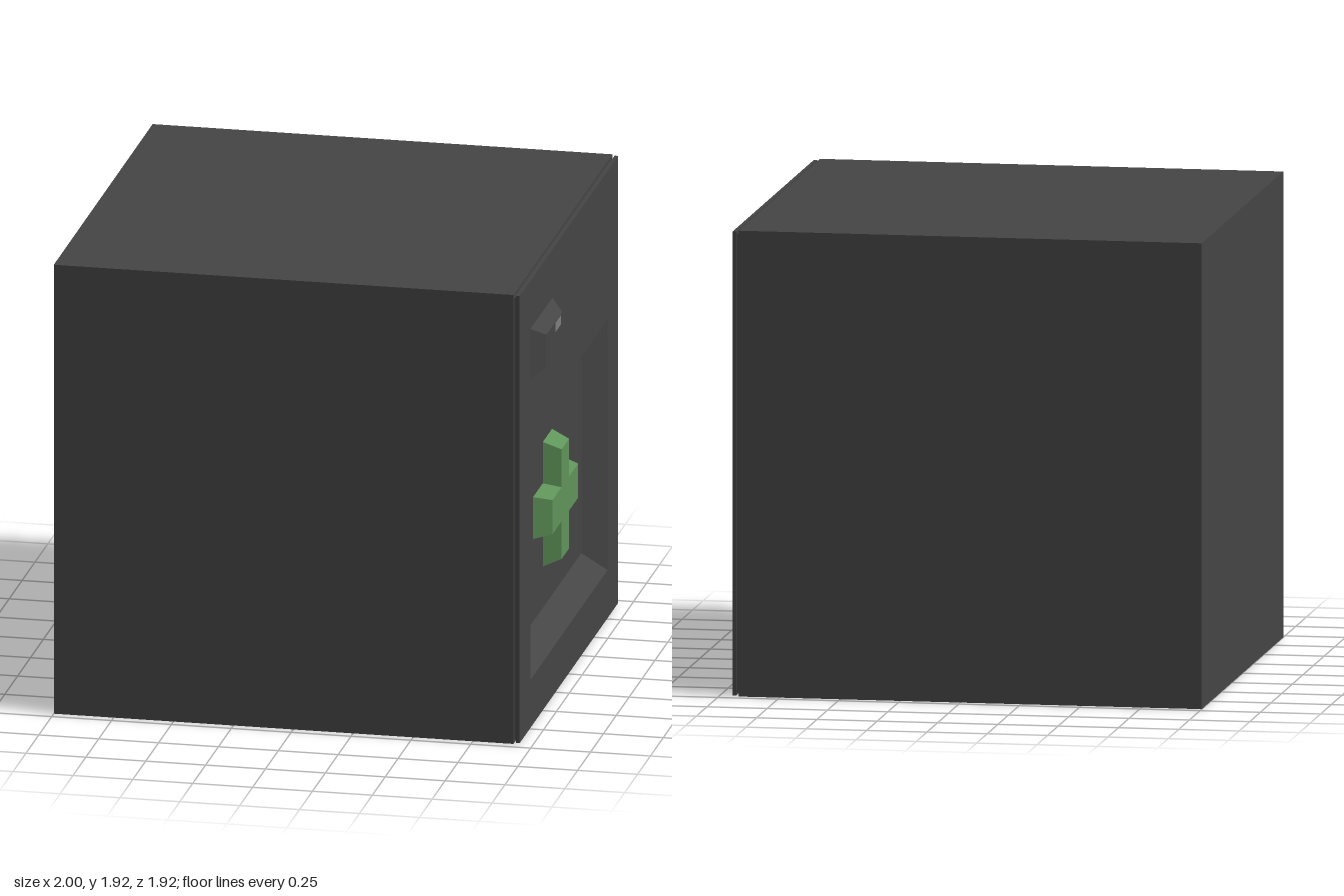
import * as THREE from 'three';

const charcoal = new THREE.MeshStandardMaterial({ name: 'charcoal', color: 0x454545 });
const green = new THREE.MeshStandardMaterial({ name: 'green', color: 0x5f955a });
const grey = new THREE.MeshStandardMaterial({ name: 'lightGrey', color: 0x808080 });

// Counter-clockwise rectangle outline
const rect = (x0, x1, y0, y1) => [[x0, y0], [x1, y0], [x1, y1], [x0, y1]].map(p => new THREE.Vector2(...p));

// Counter-clockwise plus outline: half height h, half width w, half arm thickness t
const plus = (cy, w, h, t) => [
  [-t, -h], [t, -h], [t, -t], [w, -t], [w, t], [t, t],
  [t, h], [-t, h], [-t, t], [-w, t], [-w, -t], [-t, -t],
].map(([x, y]) => new THREE.Vector2(x, y + cy));

// Sloping walls joining two outlines at different depths
function walls(a, za, b, zb) {
  const pos = [];
  a.forEach((p, i) => {
    const j = (i + 1) % a.length;
    const A = [p.x, p.y, za], B = [a[j].x, a[j].y, za];
    const C = [b[j].x, b[j].y, zb], D = [b[i].x, b[i].y, zb];
    pos.push(...A, ...B, ...C, ...A, ...C, ...D);
  });
  const g = new THREE.BufferGeometry();
  g.setAttribute('position', new THREE.Float32BufferAttribute(pos, 3));
  g.computeVertexNormals();
  return g;
}

// Flat plate with a window cut through it
function frame(outer, hole, z0, z1) {
  const s = new THREE.Shape(outer);
  s.holes.push(new THREE.Path(hole));
  return new THREE.ExtrudeGeometry(s, { depth: z1 - z0, bevelEnabled: false }).translate(0, 0, z0);
}

export function createModel() {
  const model = new THREE.Group();
  model.name = 'cabinet';
  // The door side is modelled facing +z, then turned to face +x
  const add = (name, geo, mat) => {
    const m = new THREE.Mesh(geo.rotateY(Math.PI / 2), mat);
    m.name = name;
    model.add(m);
  };
  const raised = (name, base, z0, top, z1, mat) => {
    add(name + 'Sides', walls(base, z0, top, z1), mat);
    add(name + 'Face', new THREE.ShapeGeometry(new THREE.Shape(top)).translate(0, 0, z1), mat);
  };

  const floor = 0.855, face = 0.945;
  const opening = rect(-0.75, 0.75, 0.21, 1.285);
  const panel = rect(-0.66, 0.66, 0.305, 1.19);

  // Cube body, with an open front rim around the recess
  add('body', new THREE.BoxGeometry(1.92, 1.925, 1 + floor).translate(0, 0.9625, (floor - 1) / 2), charcoal);
  add('bodyRim', frame(rect(-0.96, 0.96, 0, 1.925), opening, floor, 0.92), charcoal);

  // Door plate held off the body by a narrow groove
  add('doorGroove', frame(rect(-0.945, 0.945, 0.015, 1.91), opening, 0.92, 0.93), charcoal);
  add('door', frame(rect(-0.957, 0.957, 0.004, 1.921), opening, 0.93, face), charcoal);

  // Sloping sides of the sunken panel, facing inwards
  add('recessSides', walls([...panel].reverse(), floor, [...opening].reverse(), face), charcoal);

  // Bevelled cross on the sunken panel
  raised('cross', plus(0.75, 0.28, 0.267, 0.09), floor, plus(0.75, 0.25, 0.235, 0.073), 0.93, green);

  // Bevelled handle block with a small worn patch
  raised('handle', rect(-0.75, -0.32, 1.5, 1.715), face, rect(-0.69, -0.38, 1.54, 1.675), 0.999, charcoal);
  add('handlePatch', new THREE.PlaneGeometry(0.11, 0.04).translate(-0.465, 1.652, 1), grey);

  return model;
}
